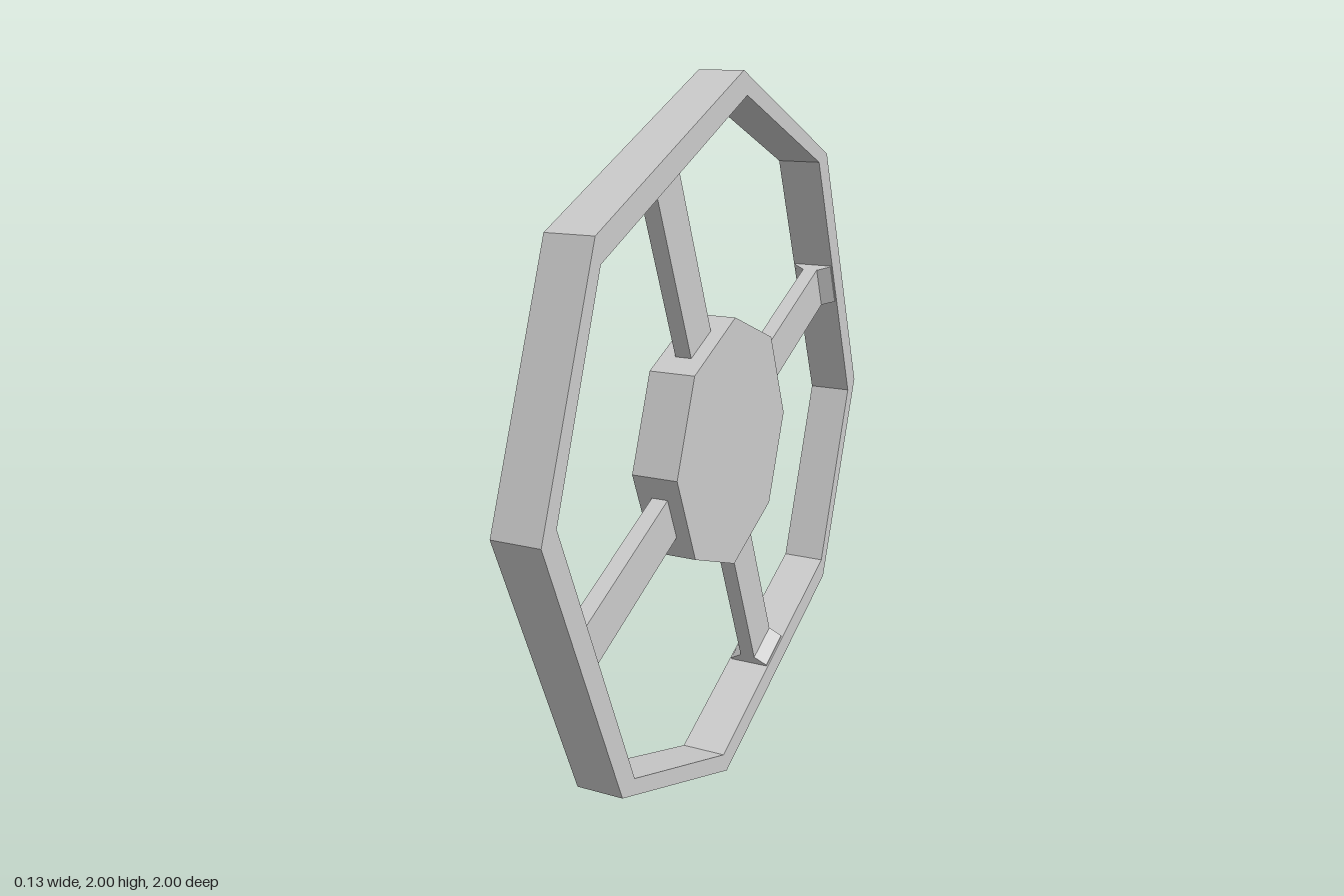
import * as THREE from 'three';

const WIDTH = 0.13;
const SPOKES = 4;

// Repeat a few [x, y] points clockwise by quarter turns
function quarterTurns(points) {
  const out = [];
  for (let i = 0; i < 4; i++) {
    for (const [x, y] of points) {
      out.push(new THREE.Vector2(x, y).rotateAround(new THREE.Vector2(), -i * Math.PI / 2));
    }
  }
  return out;
}

// Plate with an optional hole, drawn as seen from +x and spanning x0..x1
function plate(outline, hole, x0, x1) {
  const shape = new THREE.Shape([...outline].reverse());
  if (hole) shape.holes.push(new THREE.Path(hole));
  const geo = new THREE.ExtrudeGeometry(shape, { depth: x1 - x0, bevelEnabled: false });
  return geo.translate(0, 0, x0).rotateY(Math.PI / 2);
}

export function createModel() {
  const model = new THREE.Group();
  model.name = 'wheel';
  const grey = new THREE.MeshStandardMaterial({ color: 0xcccccc });
  grey.name = 'light grey';

  const wheel = new THREE.Group();
  wheel.name = 'wheelBody';
  wheel.position.y = 1;
  model.add(wheel);

  const add = (name, geo) => {
    const mesh = new THREE.Mesh(geo, grey);
    mesh.name = name;
    wheel.add(mesh);
    return mesh;
  };

  // Eight-sided rim with alternating long and short sides
  const rimOuter = quarterTurns([[0.047, 0.999], [0.675, 0.738]]);
  const rimInner = quarterTurns([[0.07, 0.935], [0.61, 0.717]]);
  add('rim', plate(rimOuter, rimInner, -WIDTH / 2, WIDTH / 2));

  // Octagonal hub, with a square socket in its inner side
  const r = 0.357;
  const hubOutline = quarterTurns([[0, r], [r * Math.SQRT1_2, r * Math.SQRT1_2]]);
  const socket = quarterTurns([[0, 0.165]]);
  add('hubFace', plate(hubOutline, null, 0, WIDTH / 2));
  add('hubSocket', plate(hubOutline, socket, -WIDTH / 2, 0));

  // Flat spokes that flare sideways where they meet the rim
  const t = 0.023, flare = 0.06;
  const half = [[t, 0.28], [t, 0.808], [flare, 0.833], [flare, 0.85]];
  const profile = [...half, ...half.map(([x, y]) => [-x, y]).reverse()];
  const spokeGeo = new THREE.ExtrudeGeometry(
    new THREE.Shape(profile.map(([x, y]) => new THREE.Vector2(x, y))),
    { depth: 0.13, bevelEnabled: false }
  ).translate(0, 0, -0.065);
  for (let i = 0; i < SPOKES; i++) {
    add('spoke' + (i + 1), spokeGeo).rotation.x = Math.PI / 8 + i * Math.PI / 2;
  }

  return model;
}
